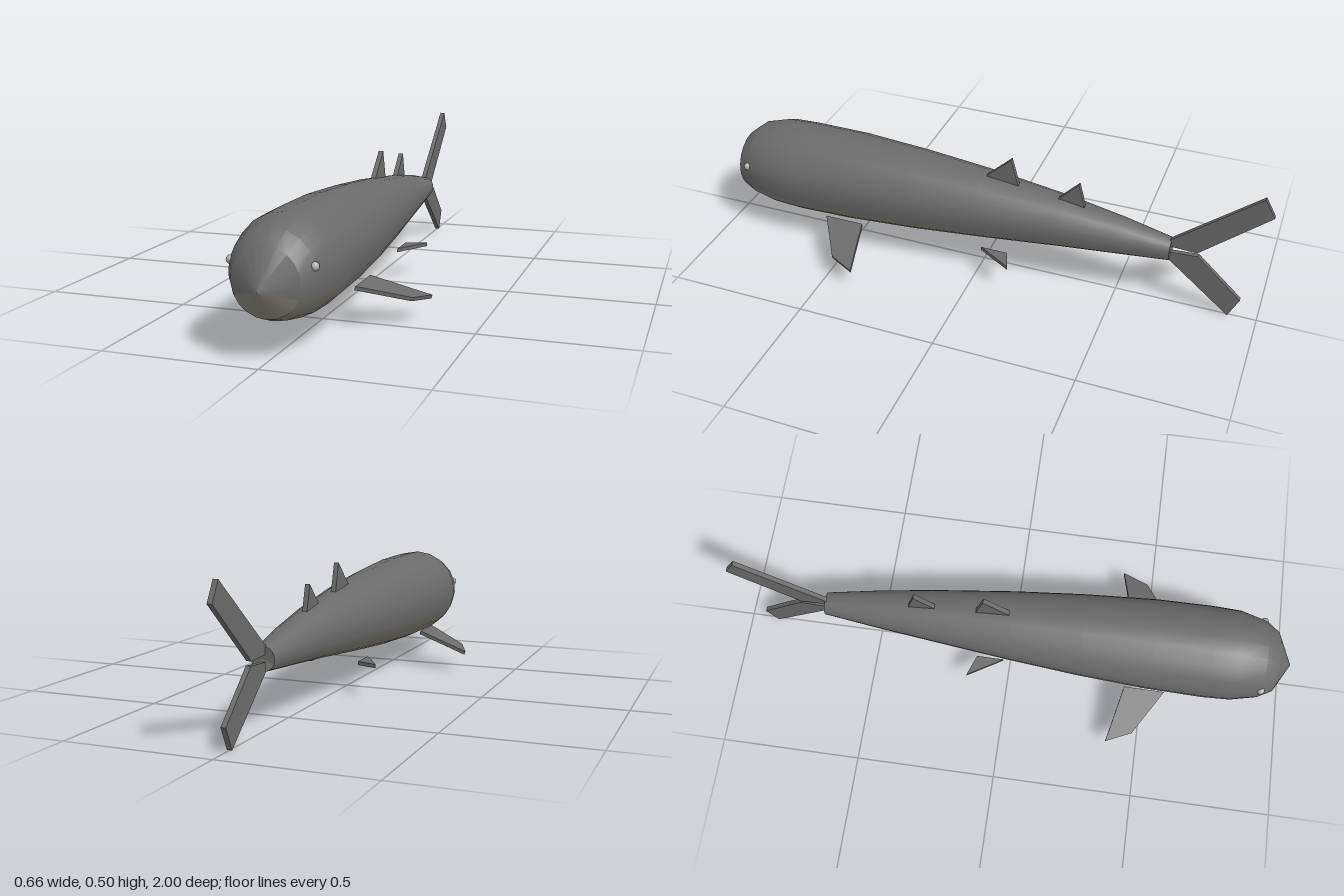
import * as THREE from 'three';
import { toCreasedNormals } from 'three/addons/utils/BufferGeometryUtils.js';

const material = (name, color) => {
  const m = new THREE.MeshStandardMaterial({ color });
  m.name = name;
  return m;
};

// Body rings from nose to tail: [z, centre height, radius]
const RINGS = [
  [1, 0.22, 0], [0.94, 0.234, 0.108], [0.89, 0.245, 0.138], [0.8, 0.249, 0.16],
  [0.7, 0.248, 0.164], [0.5, 0.25, 0.161], [0.25, 0.25, 0.146], [0, 0.25, 0.124],
  [-0.3, 0.246, 0.091], [-0.5, 0.237, 0.066], [-0.68, 0.225, 0.04], [-0.68, 0.225, 0],
];
const SEAM = THREE.MathUtils.degToRad(-23); // angle where back meets belly

// Loft one sector of the body between two angles
function bodySector(from, to, sides) {
  const positions = [], index = [], row = sides + 1;
  for (const [z, cy, r] of RINGS) {
    for (let j = 0; j <= sides; j++) {
      const a = from + ((to - from) * j) / sides;
      positions.push(r * Math.cos(a), cy + r * Math.sin(a), z);
    }
  }
  for (let i = 0; i < RINGS.length - 1; i++) {
    for (let j = 0; j < sides; j++) {
      const a = i * row + j, b = a + 1, d = a + row, c = d + 1;
      if (RINGS[i + 1][2] > 0) index.push(a, d, c);
      if (RINGS[i][2] > 0) index.push(a, c, b);
    }
  }
  const g = new THREE.BufferGeometry();
  g.setAttribute('position', new THREE.Float32BufferAttribute(positions, 3));
  g.setIndex(index);
  return toCreasedNormals(g, 0.45);
}

// Flat plate of given outline, centred on its thickness
function plate(points, thickness) {
  const shape = new THREE.Shape(points.map(([x, y]) => new THREE.Vector2(x, y)));
  return new THREE.ExtrudeGeometry(shape, { depth: thickness, bevelEnabled: false })
    .translate(0, 0, -thickness / 2);
}
// Outline given as [z, y]
const uprightPlate = (points) => plate(points, 0.017).rotateY(-Math.PI / 2);
// Outline given as [x, z]
const levelPlate = (points, side) =>
  plate(points.map(([x, z]) => [x * side, z]), 0.013).rotateX(Math.PI / 2);

export function createModel() {
  const group = new THREE.Group();
  const skin = material('dark grey skin', 0x6b6b6b);
  const pale = material('pale belly', 0x857f75);
  const eyeMat = material('light eye', 0xb5b0a6);

  const add = (name, geometry, mat) => {
    const mesh = new THREE.Mesh(geometry, mat);
    mesh.name = name;
    group.add(mesh);
    return mesh;
  };

  // Body
  add('back', bodySector(SEAM, Math.PI - SEAM, 12), skin);
  add('belly', bodySector(-Math.PI - SEAM, SEAM, 8), pale);

  // Fins on the centre line
  add('frontDorsalFin', uprightPlate([[0.02, 0.35], [-0.01, 0.372], [-0.1, 0.457], [-0.13, 0.35]]), skin);
  add('rearDorsalFin', uprightPlate([[-0.255, 0.32], [-0.276, 0.34], [-0.346, 0.412], [-0.371, 0.32]]), skin);
  add('upperTailFin', uprightPlate([[-0.67, 0.262], [-0.963, 0.502], [-1, 0.437], [-0.77, 0.235], [-0.67, 0.24]]), skin);
  add('lowerTailFin', uprightPlate([[-0.67, 0.215], [-0.775, 0.222], [-0.935, 0.075], [-0.9, 0], [-0.67, 0.19]]), skin);

  // Paired fins and eyes
  for (const [label, side] of [['left', 1], ['right', -1]]) {
    const pectoral = add(label + 'PectoralFin',
      levelPlate([[0, 0.573], [0.163, 0.475], [0.204, 0.385], [0, 0.428]], side), skin);
    pectoral.position.set(0.1345 * side, 0.132, 0);
    pectoral.rotation.z = -0.3 * side;

    const pelvic = add(label + 'PelvicFin',
      levelPlate([[0.088, -0.02], [0.164, -0.146], [0.088, -0.118]], side), skin);
    pelvic.position.y = 0.111;

    const eye = add(label + 'Eye', new THREE.SphereGeometry(0.014, 12, 8), eyeMat);
    eye.position.set(0.129 * side, 0.279, 0.89);
  }
  return group;
}
